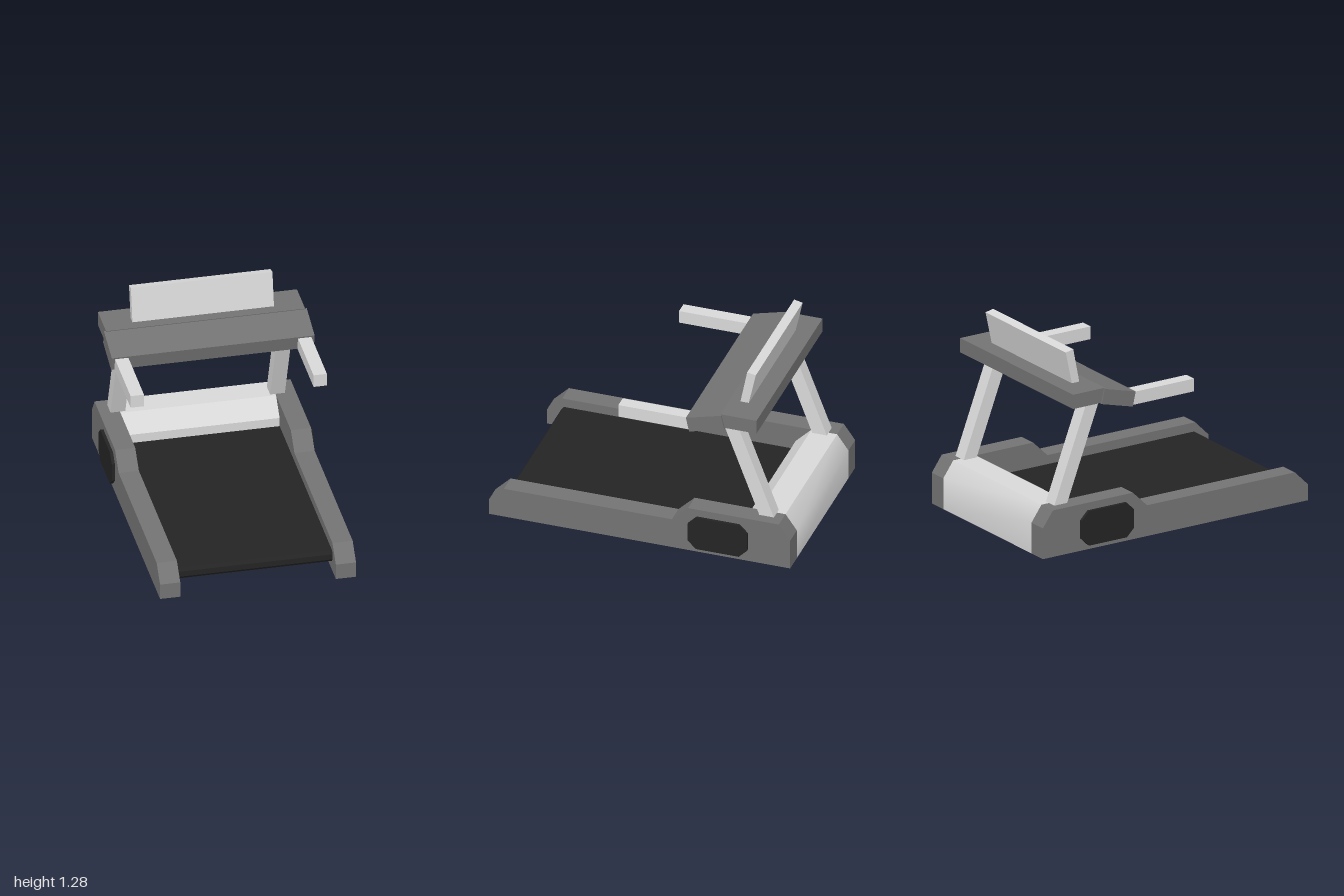
import * as THREE from 'three';
import { toCreasedNormals } from 'three/addons/utils/BufferGeometryUtils.js';

const material = (name, color) => {
  const m = new THREE.MeshStandardMaterial({ color });
  m.name = name;
  return m;
};

// Prism from a [z, y] side profile, spanning width w around x = cx
function prism(profile, w, cx = 0) {
  const shape = new THREE.Shape(profile.map(([z, y]) => new THREE.Vector2(z, y)));
  const g = new THREE.ExtrudeGeometry(shape, { depth: w, bevelEnabled: false });
  g.translate(0, 0, -w / 2);
  g.rotateY(-Math.PI / 2);
  g.translate(cx, 0, 0);
  return g;
}

export function createModel() {
  const light = material('light grey', 0xd8d8d8);
  const dark = material('dark grey', 0x737373);
  const black = material('black', 0x242424);

  const group = new THREE.Group();
  group.name = 'treadmill';
  const add = (name, geometry, mat) => {
    const mesh = new THREE.Mesh(geometry, mat);
    mesh.name = name;
    group.add(mesh);
  };

  // Running belt with a chamfered front nose
  add('belt', prism([
    [-0.7, 0.065], [0.885, 0.065], [0.905, 0.088], [0.905, 0.125], [0.89, 0.145], [-0.7, 0.145],
  ], 1.0), black);

  // Motor hood, softly rounded at the back
  const hood = prism([
    [-1, 0], [-0.65, 0], [-0.65, 0.205], [-0.755, 0.31], [-0.925, 0.31], [-1, 0.205],
  ], 1.0);
  add('motorHood', toCreasedNormals(hood, 0.66), light);

  // Console: flat rear tray and tilted front panel
  add('consoleTray', prism([
    [-0.78, 0.96], [-0.565, 0.96], [-0.54, 1.055], [-0.78, 1.055],
  ], 1.28), dark);
  add('consolePanel', prism([
    [-0.57, 0.955], [-0.337, 0.893], [-0.315, 0.99], [-0.548, 1.052],
  ], 1.304), dark);
  add('screen', prism([
    [-0.66, 1.03], [-0.605, 1.03], [-0.655, 1.28], [-0.712, 1.268],
  ], 0.91), light);

  // Paired parts
  for (const [side, s] of [['left', 1], ['right', -1]]) {
    add(side + 'SideRail', prism([
      [-1, 0], [1, 0], [1, 0.105], [0.9, 0.205], [-0.215, 0.205],
      [-0.322, 0.31], [-0.925, 0.31], [-1, 0.205],
    ], 0.13, s * 0.565), dark);

    add(side + 'SidePanel', prism([
      [-0.665, 0.03], [-0.38, 0.03], [-0.325, 0.085], [-0.325, 0.205],
      [-0.38, 0.26], [-0.665, 0.26], [-0.72, 0.205], [-0.72, 0.085],
    ], 0.03, s * 0.635), black);

    add(side + 'Upright', prism([
      [-0.87, 0.305], [-0.773, 0.305], [-0.525, 0.96], [-0.615, 0.975],
    ], 0.095, s * 0.513), light);

    add(side + 'Handle', prism([
      [-0.34, 0.895], [0.14, 0.895], [0.14, 0.98], [-0.34, 0.98],
    ], 0.086, s * 0.588), light);
  }
  return group;
}
